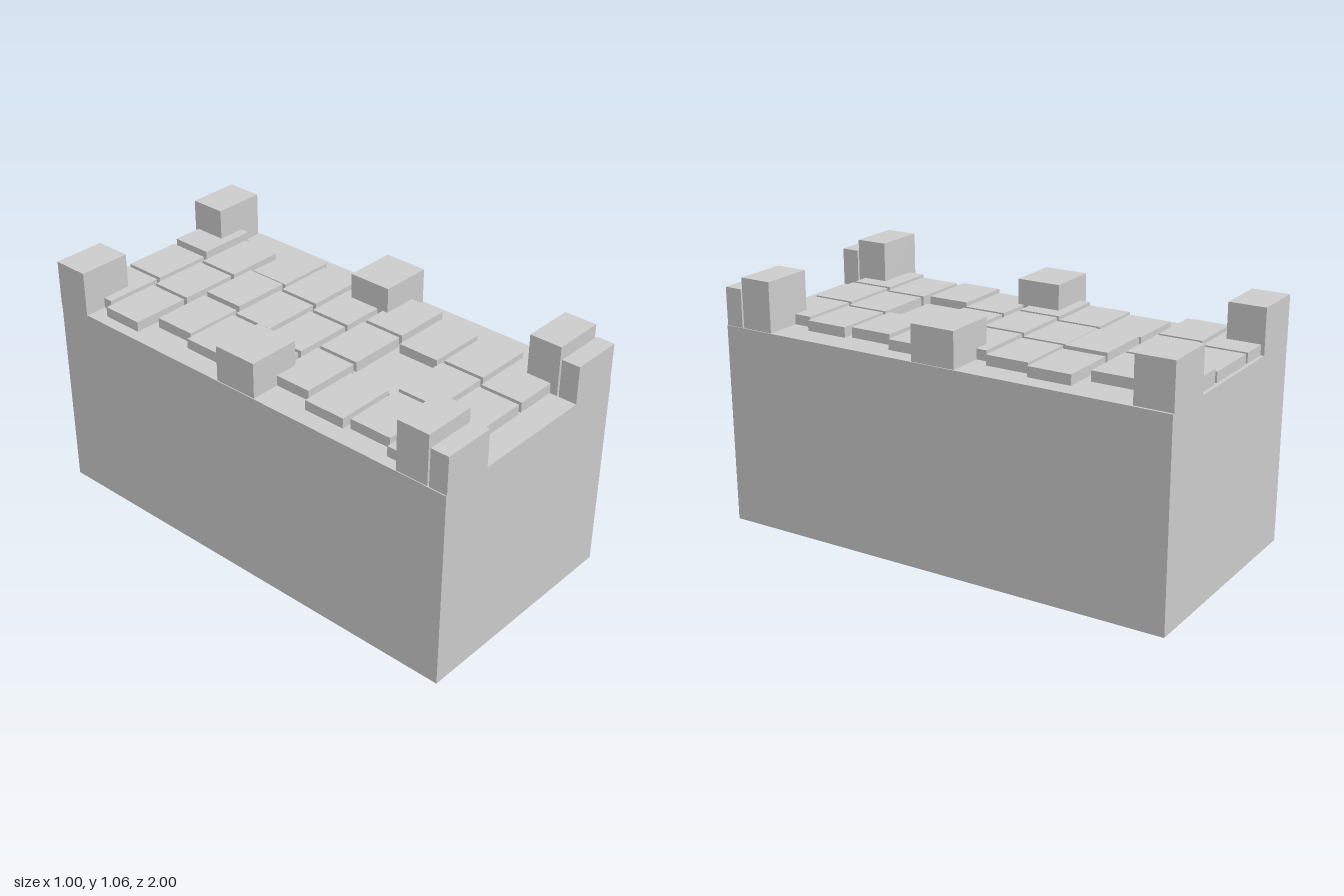
import * as THREE from 'three';

export function createModel() {
  const model = new THREE.Group();
  const material = new THREE.MeshStandardMaterial({ color: 0xcccccc, flatShading: true });

  // Box given by its extents on each axis
  const block = (name, parent, [x0, x1], [y0, y1], [z0, z1]) => {
    const mesh = new THREE.Mesh(new THREE.BoxGeometry(x1 - x0, y1 - y0, z1 - z0), material);
    mesh.position.set((x0 + x1) / 2, (y0 + y1) / 2, (z0 + z1) / 2);
    mesh.name = name;
    parent.add(mesh);
  };

  // Solid wall body
  const top = 0.85;
  block('wallBody', model, [-0.5, 0.5], [0, top], [-1, 1]);

  // Merlons in pairs along both long edges: back z, front z, top, sideways shift
  const merlons = new THREE.Group();
  merlons.name = 'merlons';
  model.add(merlons);
  const merlonRows = [
    [0.922, 1, 1.01, 0],
    [0.775, 0.914, 1.06, 0],
    [-0.1, 0.092, 1.0, 0],
    [-1, -0.842, 1.04, -0.006],
  ];
  for (const [z0, z1, y, shift] of merlonRows) {
    block('leftMerlon', merlons, [0.27 + shift, 0.496 + shift], [top - 0.01, y], [z0, z1]);
    block('rightMerlon', merlons, [-0.496 + shift, -0.27 + shift], [top - 0.01, y], [z0, z1]);
  }

  // Staggered paving, three slabs per row: back z, x of first slab, slab tops
  const paving = new THREE.Group();
  paving.name = 'paving';
  model.add(paving);
  const std = 0.893;
  const pavingRows = [
    [-0.985, -0.407, [std, std, 0.91]],
    [-0.777, -0.451, [std, std, std]],
    [-0.557, -0.371, [std, 0.902, std]],
    [-0.355, -0.407, [std, std, std]],
    [-0.145, -0.451, [std, std, std]],
    [0.067, -0.371, [std, std, std]],
    [0.284, -0.425, [std, 0.865, std]],
    [0.49, -0.407, [std, std, std]],
    [0.698, -0.451, [std, std, std]],
  ];
  for (const [z, x, tops] of pavingRows) {
    tops.forEach((y, i) => {
      const x0 = x + i * 0.27;
      block('pavingSlab', paving, [x0, x0 + 0.253], [top - 0.01, y], [z, z + 0.184]);
    });
  }

  return model;
}
